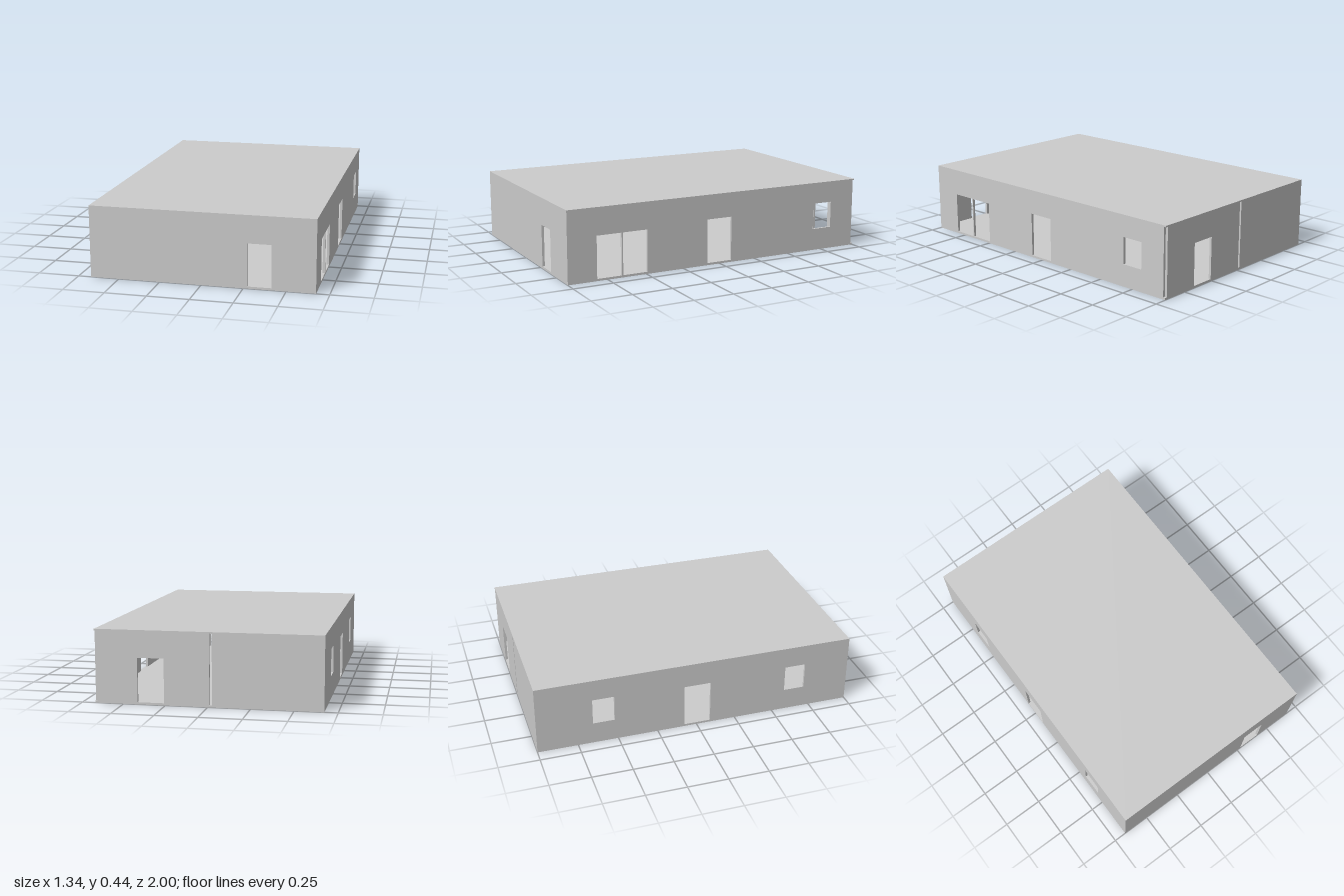
import * as THREE from 'three';

const W = 0.672, D = 1, T = 0.015;       // half width, half depth, wall thickness
const FLOOR = 0.013, CEIL = 0.428, TOP = 0.437;
const material = new THREE.MeshStandardMaterial({ color: 0xcccccc, flatShading: true });

function addMesh(group, name, geometry, x, y, z) {
  const mesh = new THREE.Mesh(geometry, material);
  mesh.name = name;
  mesh.position.set(x, y, z);
  group.add(mesh);
  return mesh;
}

// Wall panel from u0 to u1; doors [from, to, top] are notched in from the floor
// in rising order, windows [from, to, bottom, top] are holes.
function wallGeometry(u0, u1, doors = [], windows = []) {
  const shape = new THREE.Shape();
  shape.moveTo(u0, FLOOR);
  for (const [a, b, top] of doors) {
    shape.lineTo(a, FLOOR);
    shape.lineTo(a, top);
    shape.lineTo(b, top);
    shape.lineTo(b, FLOOR);
  }
  shape.lineTo(u1, FLOOR);
  shape.lineTo(u1, CEIL);
  shape.lineTo(u0, CEIL);
  shape.closePath();
  for (const [a, b, bottom, top] of windows) {
    const hole = new THREE.Path();
    hole.moveTo(a, bottom);
    hole.lineTo(a, top);
    hole.lineTo(b, top);
    hole.lineTo(b, bottom);
    hole.closePath();
    shape.holes.push(hole);
  }
  return new THREE.ExtrudeGeometry(shape, { depth: T, bevelEnabled: false });
}

export function createModel() {
  const group = new THREE.Group();
  group.name = 'house';

  // Floor and flat roof slabs
  addMesh(group, 'floor', new THREE.BoxGeometry(2 * W, FLOOR, 2 * D), 0, FLOOR / 2, 0);
  addMesh(group, 'roof', new THREE.BoxGeometry(2 * W, TOP - CEIL, 2 * D), 0, (TOP + CEIL) / 2, 0);

  // Front wall with one door
  addMesh(group, 'frontWall', wallGeometry(-W, W, [[0.275, 0.415, 0.27]]), 0, 0, D - T);

  // Back wall in two panels with a narrow joint between them and at the left corner
  addMesh(group, 'backWallRight', wallGeometry(-W, -0.026), 0, 0, -D);
  addMesh(group, 'backWallLeft', wallGeometry(-0.011, W - T, [[0.257, 0.415, 0.275]]), 0, 0, -D);

  // Side walls, drawn along z
  const door = [-0.08, 0.088, 0.285];
  const left = wallGeometry(-D + T, D - T,
    [door, [0.493, 0.651, 0.27], [0.659, 0.817, 0.27]],
    [[-0.82, -0.685, 0.138, 0.303]]);
  const right = wallGeometry(-D + T, D - T, [door],
    [[-0.655, -0.52, 0.138, 0.303], [0.577, 0.71, 0.138, 0.303]]);
  addMesh(group, 'leftWall', left, W, 0, 0).rotation.y = -Math.PI / 2;
  addMesh(group, 'rightWall', right, -W + T, 0, 0).rotation.y = -Math.PI / 2;

  return group;
}
